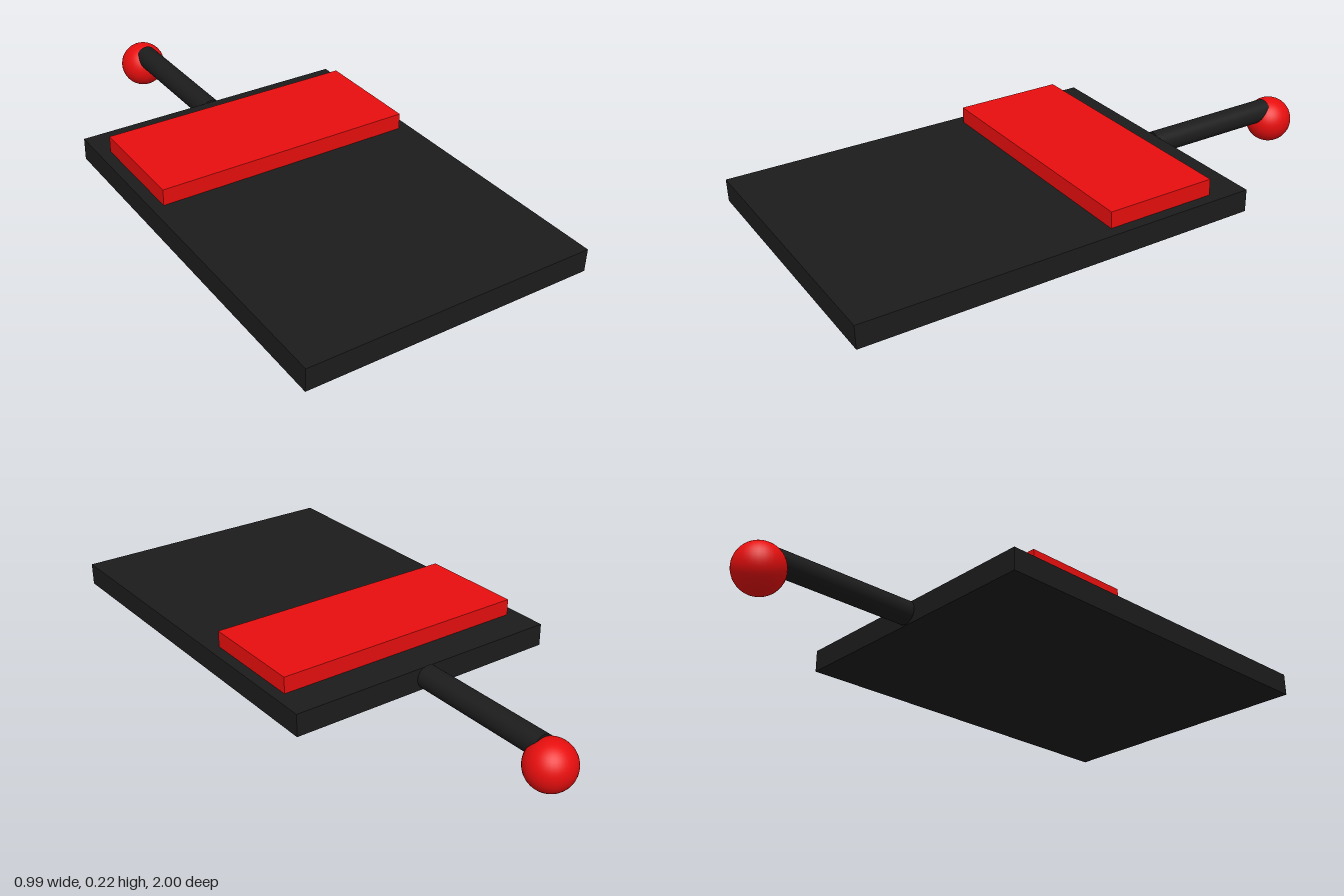
import * as THREE from 'three';

export function createModel() {
  const group = new THREE.Group();
  const black = new THREE.MeshStandardMaterial({ color: 0x1c1c1c });
  const red = new THREE.MeshStandardMaterial({ color: 0xe80e0e });

  const add = (name, geometry, material, x, y, z) => {
    const mesh = new THREE.Mesh(geometry, material);
    mesh.name = name;
    mesh.position.set(x, y, z);
    group.add(mesh);
    return mesh;
  };

  // Flat board with a raised pad towards the back
  add('board', new THREE.BoxGeometry(0.992, 0.078, 1.367), black, 0, 0.124, 0.3165);
  add('pad', new THREE.BoxGeometry(0.912, 0.057, 0.383), red, 0.001, 0.1915, -0.0535);

  // Rod out of the back edge, ending in a ball
  const rod = add('rod', new THREE.CylinderGeometry(0.041, 0.041, 0.515, 32), black, 0, 0.127, -0.6275);
  rod.rotation.x = Math.PI / 2;
  add('ball', new THREE.SphereGeometry(0.083, 32, 24), red, 0, 0.083, -0.917);

  return group;
}
